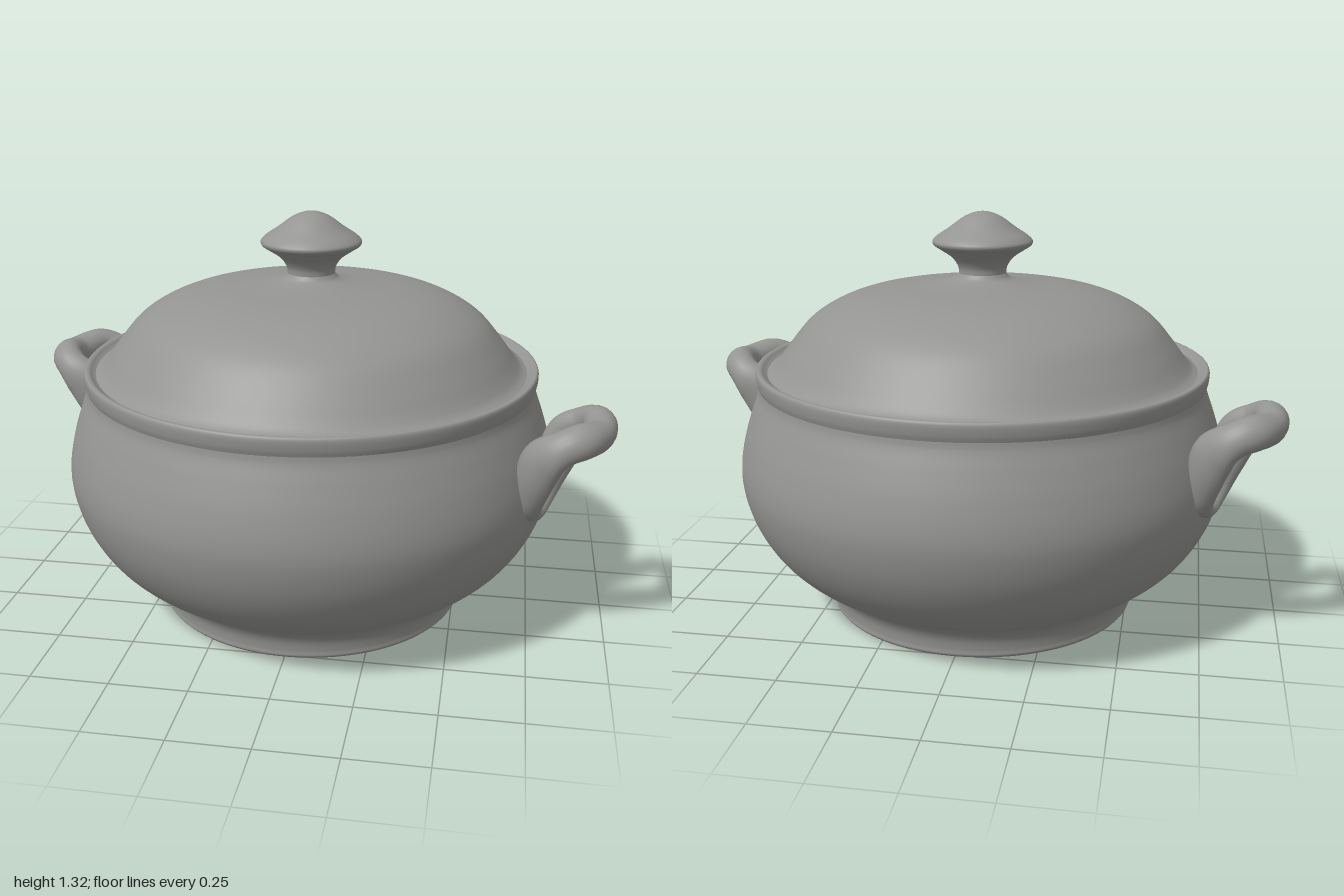
import * as THREE from 'three';

const ceramic = new THREE.MeshStandardMaterial({ color: 0x949492 });
ceramic.name = 'grey ceramic';

const mesh = (name, geometry) => {
  const m = new THREE.Mesh(geometry, ceramic);
  m.name = name;
  return m;
};

// Smooth lathe through a few [radius, height] points, listed bottom to top
function turned(name, points, samples) {
  const curve = new THREE.CatmullRomCurve3(
    points.map(([r, y]) => new THREE.Vector3(r, y, 0)), false, 'centripetal');
  const profile = curve.getPoints(samples).map(p => new THREE.Vector2(Math.max(p.x, 0), p.y));
  return mesh(name, new THREE.LatheGeometry(profile, 96));
}

// Closed bent ring: [radial, height, sideways, half width, half depth] per station
function handleGeometry() {
  const half = [
    [0.95, 0.735, 0.09, 0.05, 0.055],
    [0.90, 0.715, 0.132, 0.046, 0.055],
    [0.845, 0.665, 0.135, 0.042, 0.07],
    [0.81, 0.57, 0.115, 0.042, 0.06],
    [0.79, 0.485, 0.08, 0.035, 0.045],
  ];
  const stations = [
    [0.97, 0.725, 0, 0.055, 0.048],
    ...half,
    [0.785, 0.448, 0, 0.026, 0.04],
    ...half.slice().reverse().map(([r, y, t, a, b]) => [r, y, -t, a, b]),
  ];
  const path = new THREE.CatmullRomCurve3(
    stations.map(s => new THREE.Vector3(s[0], s[1], s[2])), true, 'catmullrom', 0.5);
  const sizes = new THREE.CatmullRomCurve3(
    stations.map(s => new THREE.Vector3(s[3], s[4], 0)), true, 'catmullrom', 0.5);
  const middle = new THREE.Vector3(0.86, 0.62, 0);
  const rings = 96, sides = 20, pos = [], index = [];

  for (let i = 0; i < rings; i++) {
    const p = path.getPoint(i / rings), size = sizes.getPoint(i / rings);
    const along = path.getTangent(i / rings);
    const out = p.clone().sub(middle);
    out.addScaledVector(along, -out.dot(along)).normalize();
    const across = along.clone().cross(out);
    for (let j = 0; j < sides; j++) {
      const angle = j / sides * Math.PI * 2;
      const v = p.clone()
        .addScaledVector(out, Math.cos(angle) * size.x)
        .addScaledVector(across, Math.sin(angle) * size.y);
      pos.push(v.x, v.y, v.z);
      const a = i * sides + j, b = i * sides + (j + 1) % sides;
      const ni = (i + 1) % rings * sides;
      const c = ni + j, d = ni + (j + 1) % sides;
      index.push(a, b, c, b, d, c);
    }
  }
  const g = new THREE.BufferGeometry();
  g.setAttribute('position', new THREE.Float32BufferAttribute(pos, 3));
  g.setIndex(index);
  g.computeVertexNormals();
  return g;
}

export function createModel() {
  const pot = new THREE.Group();
  pot.name = 'lidded pot';

  // Flat underside
  const base = mesh('underside', new THREE.CircleGeometry(0.508, 96));
  base.rotation.x = Math.PI / 2;
  pot.add(base);

  // Foot, belly and neck
  pot.add(turned('body', [
    [0.508, 0], [0.514, 0.008], [0.514, 0.025], [0.522, 0.065], [0.55, 0.105],
    [0.635, 0.16], [0.715, 0.24], [0.775, 0.345], [0.803, 0.45], [0.804, 0.52],
    [0.787, 0.61], [0.762, 0.69], [0.741, 0.75], [0.737, 0.775],
  ], 90));

  // Rim lip with the seat for the lid inside it
  pot.add(turned('rim', [
    [0.737, 0.77], [0.743, 0.79], [0.745, 0.822], [0.74, 0.83], [0.728, 0.829],
    [0.716, 0.82], [0.70, 0.812], [0.67, 0.81],
  ], 40));

  // Domed lid
  pot.add(turned('lid', [
    [0.715, 0.812], [0.69, 0.825], [0.67, 0.846], [0.63, 0.90], [0.567, 0.973],
    [0.50, 1.018], [0.414, 1.053], [0.31, 1.075], [0.20, 1.088], [0.125, 1.099],
    [0.09, 1.11], [0.077, 1.125],
  ], 70));

  // Pointed knob
  pot.add(turned('knob', [
    [0.077, 1.122], [0.08, 1.145], [0.10, 1.175], [0.14, 1.203], [0.16, 1.217],
    [0.163, 1.228], [0.15, 1.243], [0.11, 1.27], [0.06, 1.306], [0.025, 1.32],
    [0, 1.324],
  ], 60));

  // Two handles on opposite sides
  const loop = handleGeometry();
  [['leftHandle', 0], ['rightHandle', Math.PI]].forEach(([name, turn]) => {
    const handle = mesh(name, loop);
    handle.rotation.y = turn - THREE.MathUtils.degToRad(18);
    pot.add(handle);
  });

  return pot;
}
